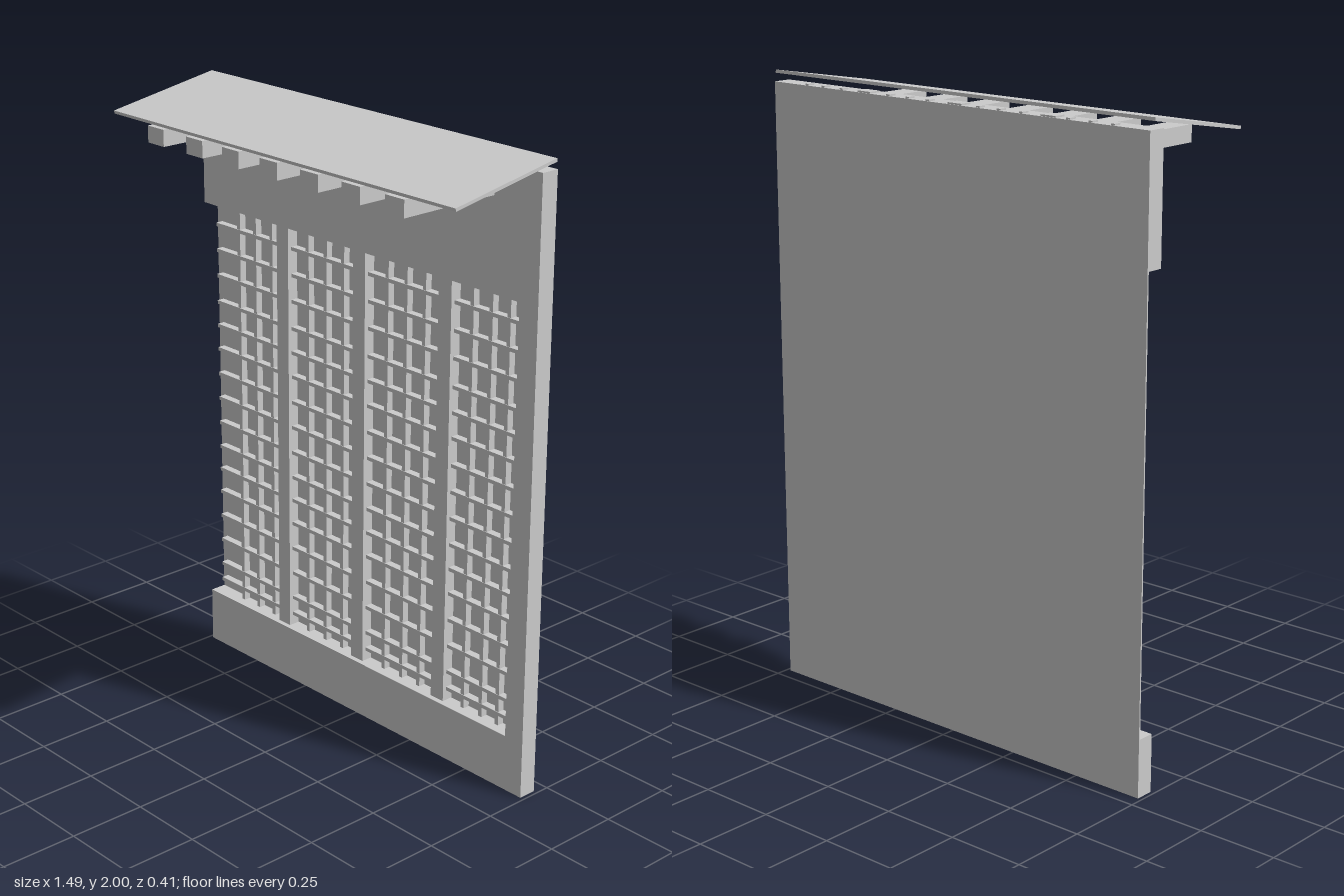
import * as THREE from 'three';

export function createModel() {
  const model = new THREE.Group();
  const material = new THREE.MeshStandardMaterial({ color: 0xcccccc, flatShading: true });

  // Box given by its limits on each axis
  function slab(name, [x0, x1], [y0, y1], [z0, z1], parent = model) {
    const mesh = new THREE.Mesh(new THREE.BoxGeometry(x1 - x0, y1 - y0, z1 - z0), material);
    mesh.position.set((x0 + x1) / 2, (y0 + y1) / 2, (z0 + z1) / 2);
    mesh.name = name;
    parent.add(mesh);
    return mesh;
  }
  function group(name) {
    const g = new THREE.Group();
    g.name = name;
    model.add(g);
    return g;
  }

  // Wall: sill, header and one jamb around a recess that is open at the right end
  const side = 0.737, sill = 0.185, head = 1.575, top = 1.965;
  const back = -0.205, front = -0.145;
  slab('sill', [-side, side], [0, sill], [back, front]);
  slab('header', [-side, side], [head, top], [back, front]);
  slab('jamb', [0.665, side], [sill, head], [back, front]);
  slab('backPanel', [-side, 0.665], [sill, head], [back, -0.2]);

  // Broad posts, running up through the header
  const posts = group('posts');
  for (const x of [-0.373, -0.018, 0.352]) {
    slab('post', [x - 0.027, x + 0.027], [sill, top + 0.005], [-0.202, -0.162], posts);
  }

  // Lattice uprights, three in each bay
  const uprights = group('latticeUprights');
  for (const x of [-0.605, -0.526, -0.446, -0.272, -0.188, -0.108,
    0.09, 0.172, 0.251, 0.449, 0.526, 0.597]) {
    slab('latticeUpright', [x - 0.007, x + 0.007], [sill, top + 0.005], [-0.202, -0.177], uprights);
  }

  // Lattice rails
  const rails = group('latticeRails');
  for (const y of [0.225, 0.284, 0.374, 0.464, 0.554, 0.637, 0.719, 0.806,
    0.894, 0.981, 1.069, 1.151, 1.233, 1.324, 1.411, 1.499]) {
    slab('latticeRail', [-0.715, 0.665], [y - 0.006, y + 0.006], [-0.202, -0.175], rails);
  }

  // Rafters projecting from the header
  const rafters = group('rafters');
  for (const x of [-0.53, -0.345, -0.178, -0.007, 0.168, 0.342, 0.518]) {
    slab('rafter', [x - 0.038, x + 0.038], [1.865, 1.918], [front, 0.208], rafters);
  }

  // Thin canopy sloping down to the front
  const run = 0.394, rise = 0.068;
  const canopy = slab('canopy', [-0.745, 0.745], [-0.005, 0.005],
    [-Math.hypot(run, rise) / 2, Math.hypot(run, rise) / 2]);
  canopy.position.set(0, 1.961, 0.004);
  canopy.rotation.x = Math.atan2(rise, run);

  return model;
}
